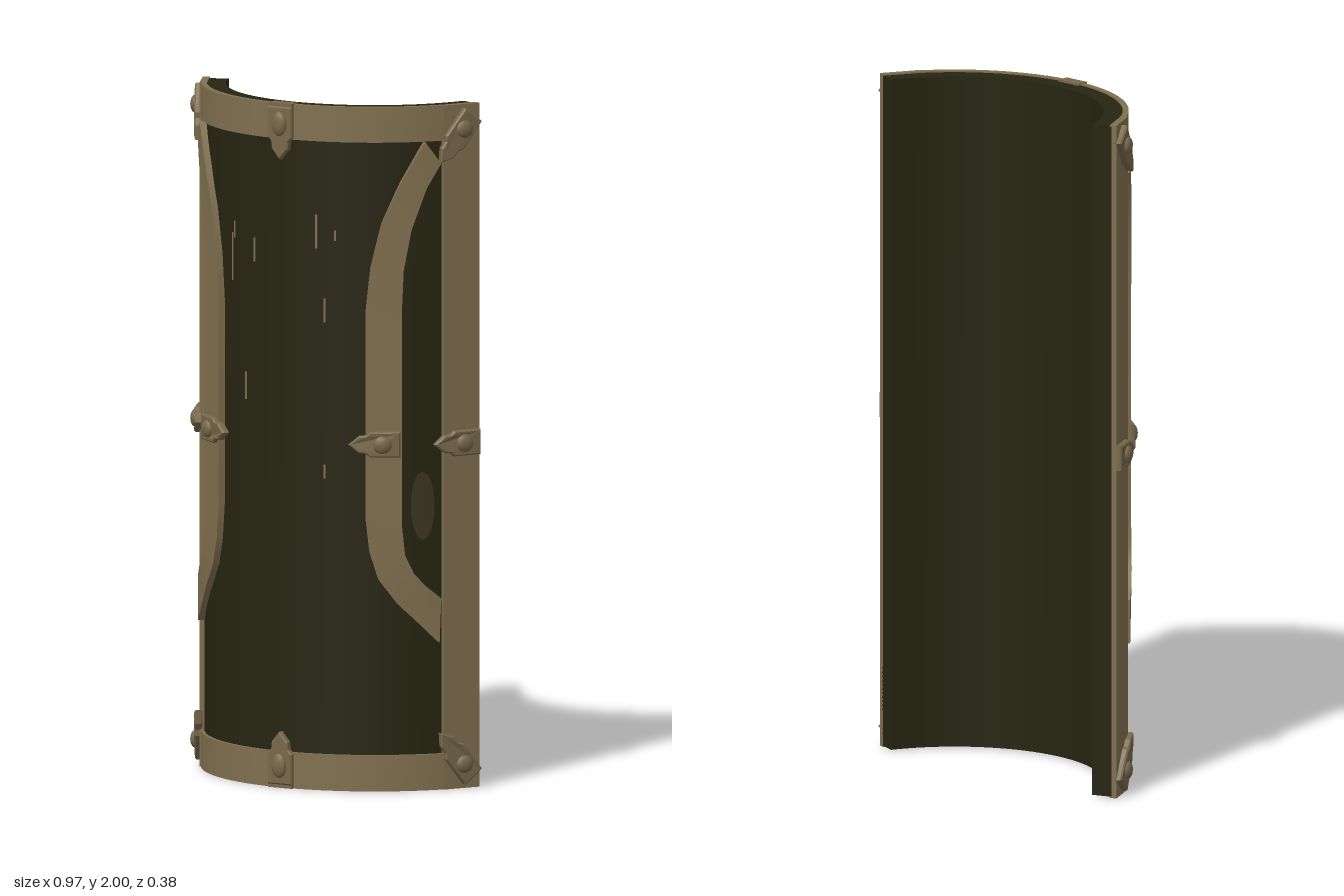
import * as THREE from 'three';
import { toCreasedNormals } from 'three/addons/utils/BufferGeometryUtils.js';

const R = 0.5;        // reference radius of the curved shield
const CZ = -0.34;     // z of the axis it curves around
const EDGE = 0.602;   // arc length from the middle to a side edge

const mat = (name, color) => Object.assign(new THREE.MeshStandardMaterial({ color }), { name });

// Arc position s, height y and radius r to a point on the curve
const bend = (s, y, r) => [r * Math.sin(s / R), y, CZ + r * Math.cos(s / R)];
const arc = (x, r = 0.51) => R * Math.asin(x / r);

// Solid band between two edges; rows are [sA, yA, sB, yB]
function band(rows, r0, r1) {
  const pos = [], idx = [];
  for (const [sa, ya, sb, yb] of rows)
    pos.push(...bend(sa, ya, r1), ...bend(sb, yb, r1), ...bend(sb, yb, r0), ...bend(sa, ya, r0));
  const quad = (a, b, c, d) => idx.push(a, b, c, a, c, d);
  const n = rows.length;
  for (let i = 0; i < n - 1; i++)
    for (let j = 0; j < 4; j++) {
      const k = (j + 1) % 4, p = i * 4, q = p + 4;
      quad(p + j, q + j, q + k, p + k);
    }
  quad(0, 1, 2, 3);
  const e = (n - 1) * 4;
  quad(e + 3, e + 2, e + 1, e);
  const g = new THREE.BufferGeometry();
  g.setAttribute('position', new THREE.Float32BufferAttribute(pos, 3));
  g.setIndex(idx);
  return toCreasedNormals(g, 0.6);
}

const across = (y0, y1, n = 36) => Array.from({ length: n + 1 }, (_, i) => {
  const s = -EDGE + (2 * EDGE * i) / n;
  return [s, y0, s, y1];
});
const mirrorRows = (rows) => rows.map(([sa, ya, sb, yb]) => [-sb, yb, -sa, ya]);

// Wrap a flat geometry (x = arc, y = height, z = radius) around the shield
function wrap(g) {
  const p = g.attributes.position;
  for (let i = 0; i < p.count; i++) p.setXYZ(i, ...bend(p.getX(i), p.getY(i), p.getZ(i)));
  g.computeVertexNormals();
  return g;
}

// Pointed strap plate, growing from its base along +y before turning
function strapGeometry(s, y, angle, w, len, r) {
  const h = w / 2;
  const half = [[h, 0], [h, 0.58 * len], [h * 0.72, 0.66 * len], [h * 0.66, 0.8 * len]];
  const pts = [...half, [0, len], ...half.map(([a, b]) => [-a, b]).reverse()];
  const shape = new THREE.Shape(pts.map(([a, b]) => new THREE.Vector2(a, b)));
  const g = new THREE.ExtrudeGeometry(shape, {
    depth: 0.016, bevelEnabled: true, bevelThickness: 0.004, bevelSize: 0.004, bevelOffset: -0.004, bevelSegments: 1,
  });
  return wrap(g.rotateZ(angle).translate(s, y, r));
}

export function createModel() {
  const root = new THREE.Group();
  const wood = mat('dark olive', 0x262411);
  const metal = mat('tan metal', 0x80704f);
  const strapMetal = mat('strap metal', 0x77684a);
  const worn = mat('worn patch', 0x3c3521);

  const add = (name, g, m) => {
    const mesh = new THREE.Mesh(g, m);
    mesh.name = name;
    root.add(mesh);
  };

  // Curved body
  add('shieldBody', band(across(0.004, 1.994), 0.43, 0.492), wood);

  // Top and bottom rims
  add('topRim', band(across(1.895, 1.998), 0.486, 0.503), metal);
  add('bottomRim', band(across(0, 0.105), 0.486, 0.503), metal);

  // Side rims
  const sideRows = [[0.484, 1.998, EDGE, 1.998], [0.484, 0, EDGE, 0]];
  add('leftRim', band(sideRows, 0.486, 0.507), metal);
  add('rightRim', band(mirrorRows(sideRows), 0.486, 0.507), metal);

  // Curved ribs: inner edge x, y and outer edge x, y
  const ribRows = [
    [0.385, 1.895, 0.415, 1.83], [0.335, 1.78, 0.388, 1.76], [0.29, 1.66, 0.357, 1.64],
    [0.262, 1.53, 0.34, 1.52], [0.25, 1.4, 0.336, 1.4], [0.25, 1.1, 0.336, 1.1],
    [0.25, 0.8, 0.336, 0.78], [0.26, 0.7, 0.343, 0.69], [0.282, 0.62, 0.362, 0.635],
    [0.325, 0.55, 0.388, 0.595], [0.412, 0.43, 0.415, 0.56],
  ].map(([a, ya, b, yb]) => [arc(a), ya, arc(b), yb]);
  add('leftRib', band(ribRows, 0.484, 0.512), metal);
  add('rightRib', band(mirrorRows(ribRows), 0.484, 0.512), metal);

  // Straps with domed rivets
  const strap = (name, s, y, angle, w, len, r, along, rx = 0.026, ry = 0.026) => {
    add(name + 'Strap', strapGeometry(s, y, angle, w, len, r), strapMetal);
    const dome = new THREE.SphereGeometry(1, 14, 8).scale(rx, ry, 0.014)
      .translate(s - Math.sin(angle) * along, y + Math.cos(angle) * along, r + 0.019);
    add(name + 'Rivet', wrap(dome), strapMetal);
  };
  strap('topCentre', 0, 1.99, Math.PI, 0.08, 0.155, 0.497, 0.05, 0.024, 0.036);
  strap('bottomCentre', 0, 0.01, 0, 0.08, 0.155, 0.497, 0.055, 0.024, 0.036);
  for (const [side, k] of [['left', 1], ['right', -1]]) {
    strap(side + 'Rib', 0.354 * k, 1.015, k * Math.PI / 2, 0.074, 0.145, 0.506, 0.05);
    strap(side + 'Rim', 0.598 * k, 1.01, k * Math.PI / 2, 0.074, 0.145, 0.502, 0.053);
    strap(side + 'TopCorner', 0.575 * k, 1.967, k * (Math.PI - 0.66), 0.07, 0.17, 0.502, 0.05);
    strap(side + 'BottomCorner', 0.575 * k, 0.033, k * 0.66, 0.07, 0.17, 0.502, 0.05);
  }

  // Clips folded over the rims at the middle
  for (const [name, y] of [['topClip', 1.993], ['bottomClip', 0.007]])
    add(name, new THREE.BoxGeometry(0.08, 0.014, 0.036).translate(0, y, 0.153), strapMetal);

  // Worn oval beside the left rib
  const patch = new THREE.CylinderGeometry(1, 1, 0.006, 14).rotateX(Math.PI / 2)
    .scale(0.036, 0.1, 1).translate(0.425, 0.83, 0.492);
  add('wornPatch', wrap(patch), worn);

  // Fine vertical scratches: x, centre y, length
  const scratches = [
    [-0.2, 1.53, 0.14], [-0.105, 1.56, 0.07], [0.105, 1.63, 0.1], [0.16, 1.62, 0.03],
    [0.13, 1.4, 0.07], [-0.14, 1.16, 0.08], [0.13, 0.93, 0.04], [-0.19, 1.61, 0.05],
  ];
  for (const [x, y, len] of scratches) {
    const s = arc(x, 0.492), a = y + len / 2, b = y - len / 2;
    add('scratch', band([[s - 0.003, a, s + 0.003, a], [s - 0.003, b, s + 0.003, b]], 0.489, 0.494), metal);
  }
  return root;
}
